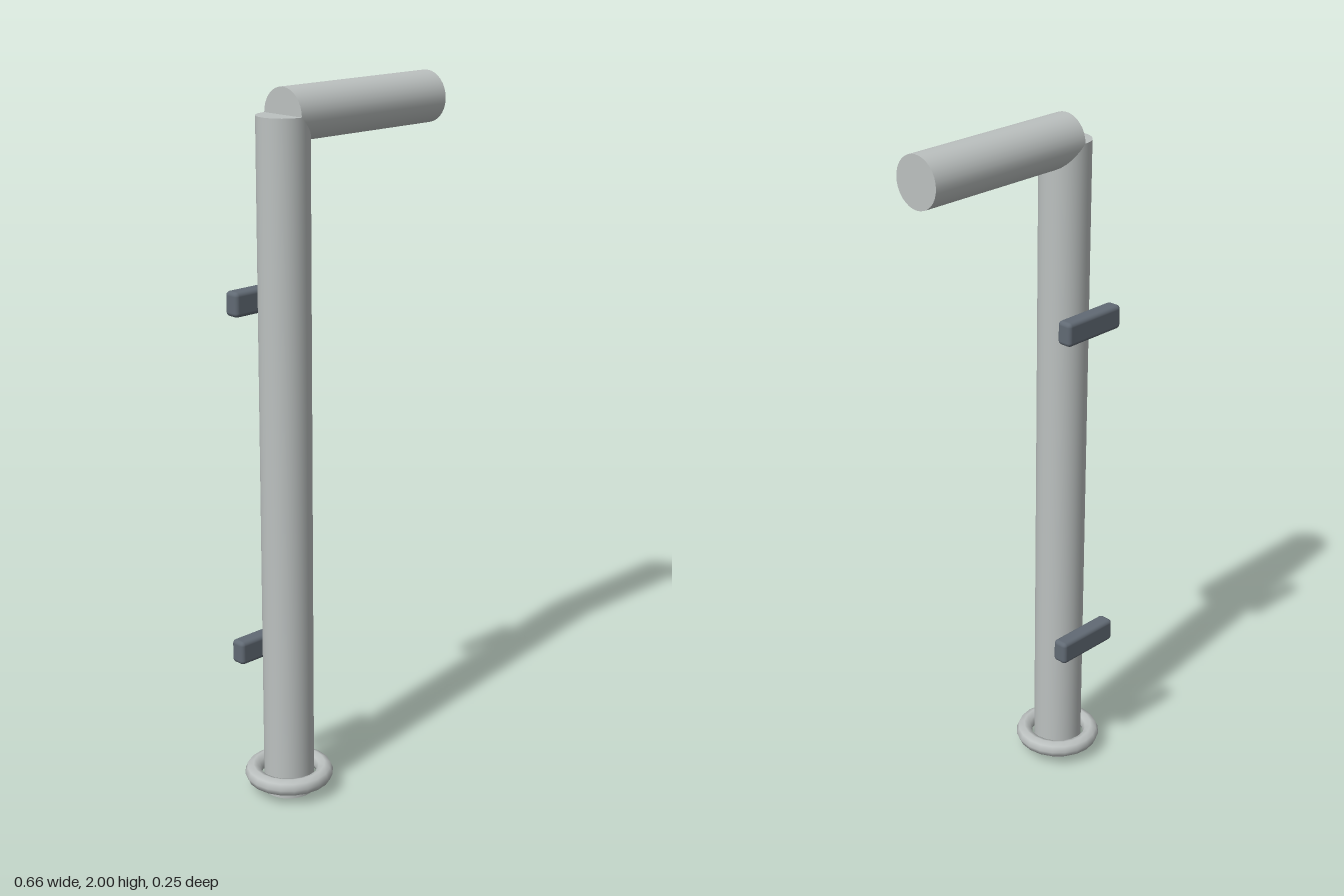
import * as THREE from 'three';
import { RoundedBoxGeometry } from 'three/addons/geometries/RoundedBoxGeometry.js';

const steel = new THREE.MeshStandardMaterial({ name: 'light steel', color: 0xbcc1c0 });
const darkMetal = new THREE.MeshStandardMaterial({ name: 'dark slate metal', color: 0x616a74 });

const POST_X = -0.205;
const PIPE_R = 0.0715;
const ARM_Y = 2 - PIPE_R;
const ARM_END = 0.332;

export function createModel() {
  const model = new THREE.Group();
  model.name = 'pipe';

  function add(name, geometry, material, x, y, z) {
    const mesh = new THREE.Mesh(geometry, material);
    mesh.name = name;
    mesh.position.set(x, y, z);
    model.add(mesh);
    return mesh;
  }

  // Upright pipe, ending at the arm's centre line
  add('uprightPipe', new THREE.CylinderGeometry(PIPE_R, PIPE_R, ARM_Y, 32),
    steel, POST_X, ARM_Y / 2, 0);

  // Horizontal arm, starting at the upright's centre line
  const armLength = ARM_END - POST_X;
  const arm = add('horizontalArm', new THREE.CylinderGeometry(PIPE_R, PIPE_R, armLength, 32),
    steel, POST_X + armLength / 2, ARM_Y, 0);
  arm.rotation.z = -Math.PI / 2;

  // Loose collar ring near the foot
  const ring = add('collarRing', new THREE.TorusGeometry(0.1025, 0.0245, 8, 20),
    steel, POST_X, 0.053, 0);
  ring.rotation.x = Math.PI / 2;

  // Wall brackets behind the upright
  for (const [name, y] of [['lowerBracket', 0.423], ['upperBracket', 1.429]]) {
    add(name, new RoundedBoxGeometry(0.209, 0.069, 0.047, 3, 0.012),
      darkMetal, POST_X, y, -0.0985);
  }

  return model;
}
